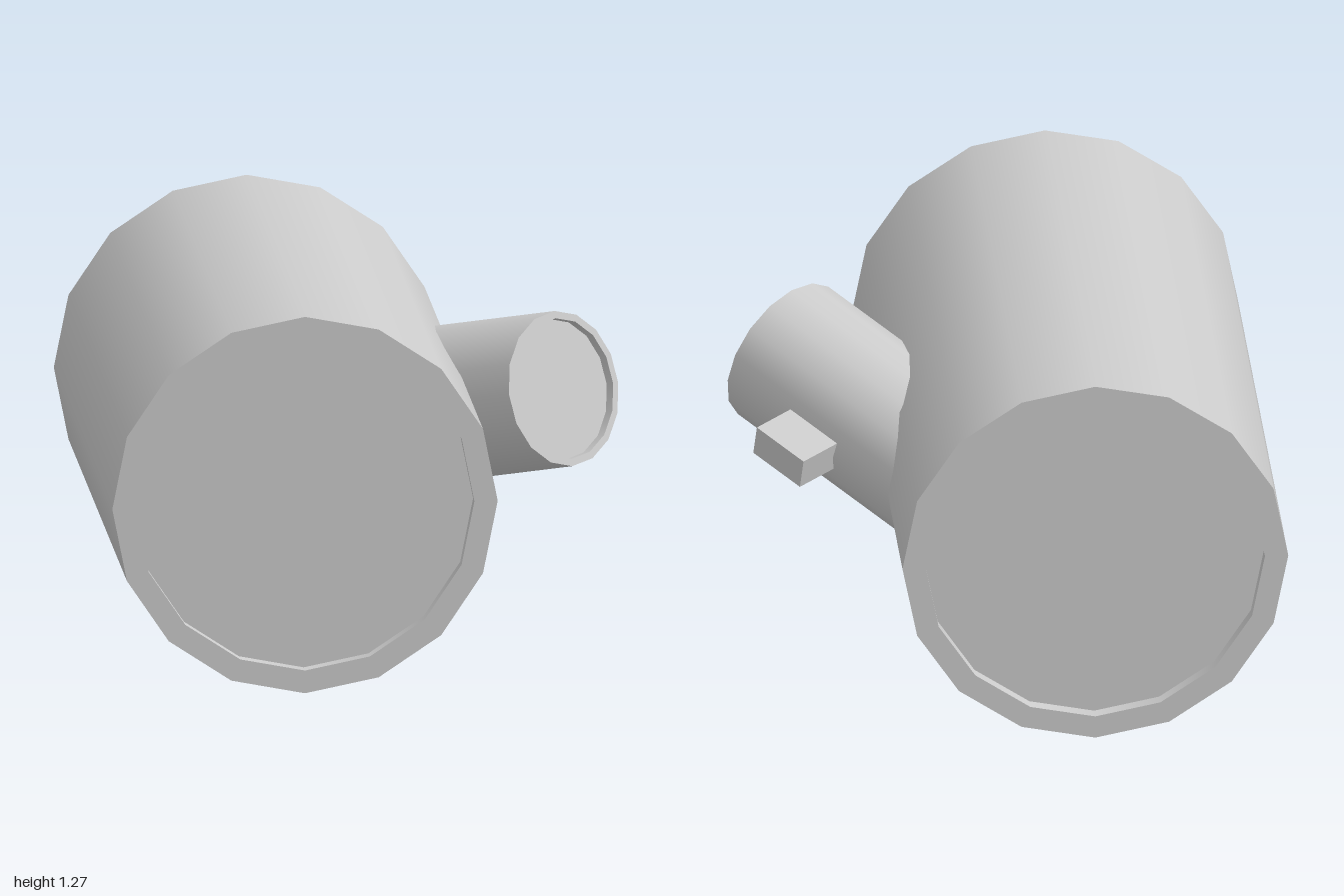
import * as THREE from 'three';

const SIDES = 16;
const material = new THREE.MeshStandardMaterial({ color: 0xcccccc });
const innerMaterial = new THREE.MeshStandardMaterial({ color: 0xcccccc, side: THREE.DoubleSide });

function addMesh(parent, name, geometry, mat = material) {
  const mesh = new THREE.Mesh(geometry, mat);
  mesh.name = name;
  parent.add(mesh);
  return mesh;
}

// Recessed end facing +z: flat rim, short inner wall and a sunken disc
function makeEnd(name, outer, inner, depth) {
  const end = new THREE.Group();
  end.name = name;
  addMesh(end, 'rim', new THREE.RingGeometry(inner, outer, SIDES));
  const wall = new THREE.CylinderGeometry(inner, inner, depth, SIDES, 1, true)
    .rotateX(Math.PI / 2).translate(0, 0, -depth / 2);
  addMesh(end, 'innerWall', wall, innerMaterial);
  addMesh(end, 'sunkenDisc', new THREE.CircleGeometry(inner, SIDES)).position.z = -depth;
  return end;
}

// Open tube along z, from z0 to z1
function tube(radius, z0, z1) {
  return new THREE.CylinderGeometry(radius, radius, z1 - z0, SIDES, 1, true)
    .rotateX(Math.PI / 2).translate(0, 0, (z0 + z1) / 2);
}

export function createModel() {
  const model = new THREE.Group();
  model.name = 'branchedPipe';

  // Main pipe along z, recessed at both ends
  const main = new THREE.Group();
  main.name = 'mainPipe';
  main.position.set(-0.245, 0.637, 0);
  addMesh(main, 'mainWall', tube(0.637, -1, 1));
  for (const side of [1, -1]) {
    const end = makeEnd(side > 0 ? 'frontEnd' : 'backEnd', 0.637, 0.56, 0.045);
    end.position.z = side;
    if (side < 0) end.rotation.y = Math.PI;
    main.add(end);
  }
  model.add(main);

  // Angled branch: local +z runs out to its open end, whose centre is the origin
  const branch = new THREE.Group();
  branch.name = 'branchPipe';
  const direction = new THREE.Vector3(0.64, 0.25, 0.73);
  branch.position.set(0.678, 0.84, 0.294);
  branch.lookAt(branch.position.clone().add(direction));
  branch.rotateZ(-0.1);
  addMesh(branch, 'branchWall', tube(0.257, -0.95, 0));
  branch.add(makeEnd('branchEnd', 0.257, 0.233, 0.03));

  // Small block on the outer side of the branch
  addMesh(branch, 'sideBlock', new THREE.BoxGeometry(0.2, 0.108, 0.22)).position.set(0.302, 0, -0.387);
  model.add(branch);

  return model;
}
